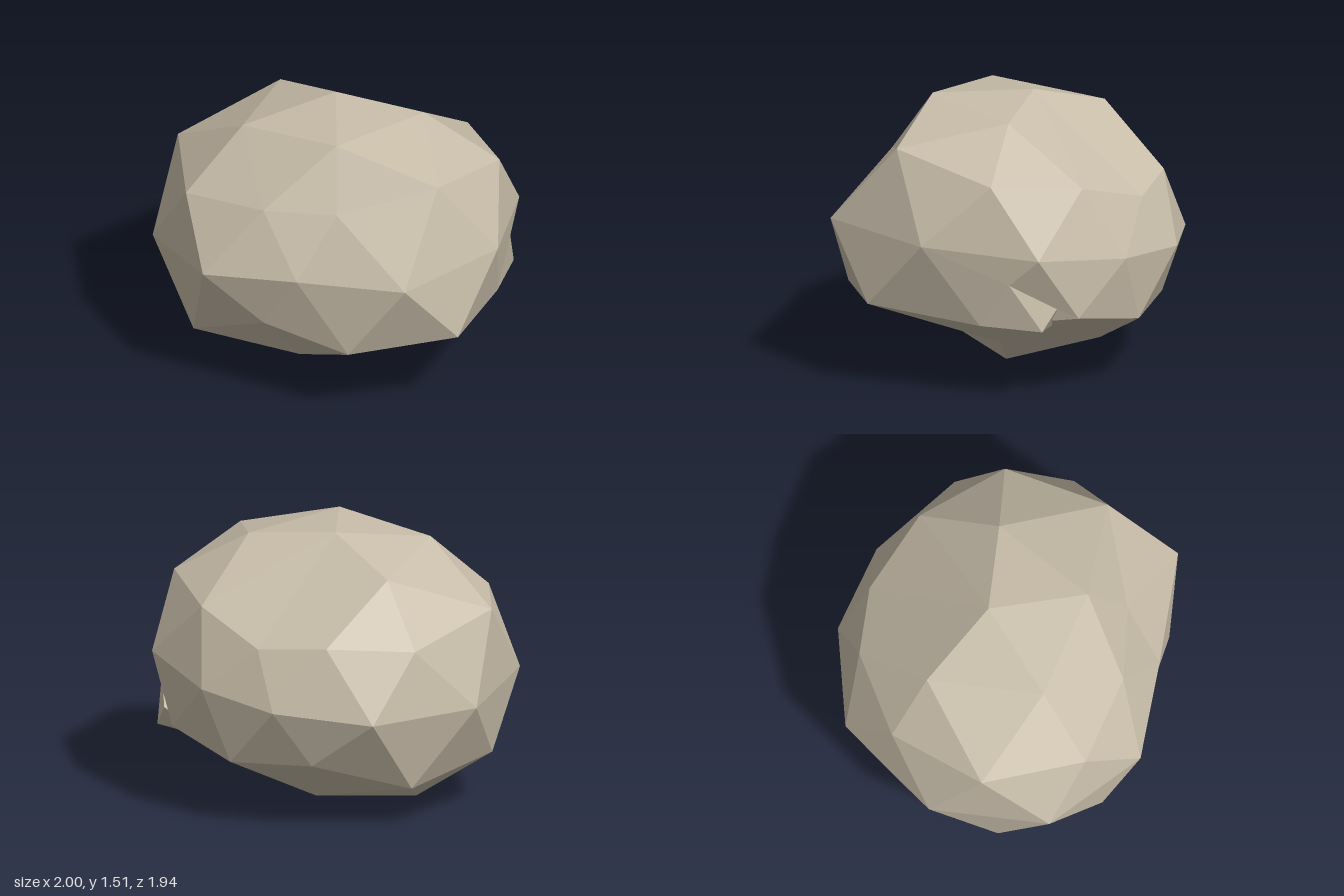
import * as THREE from 'three';
import { ConvexGeometry } from 'three/addons/geometries/ConvexGeometry.js';

const stone = new THREE.MeshStandardMaterial({ color: 0xc8bda9 });
stone.name = 'warm grey stone';

const toVectors = (corners) => corners.map(([x, y, z]) => new THREE.Vector3(x, y, z));

// Faceted ball: triangulate the corner directions on a sphere, then move every
// vertex out to its corner, so shallow hollows between corners are kept
function facetedBall(corners, centre) {
  const points = toVectors(corners);
  const directions = points.map((p) => {
    const d = p.clone().sub(centre);
    d.y *= 1.3;
    return d.normalize();
  });
  const geometry = new ConvexGeometry(directions);
  const position = geometry.attributes.position;
  const v = new THREE.Vector3();
  for (let i = 0; i < position.count; i++) {
    v.fromBufferAttribute(position, i);
    let best = 0;
    directions.forEach((d, k) => { if (d.dot(v) > directions[best].dot(v)) best = k; });
    position.setXYZ(i, points[best].x, points[best].y, points[best].z);
  }
  geometry.computeVertexNormals();
  return geometry;
}

function addPart(group, name, geometry) {
  const mesh = new THREE.Mesh(geometry, stone);
  mesh.name = name;
  group.add(mesh);
}

export function createModel() {
  const group = new THREE.Group();
  group.name = 'boulder';

  // Flattish top
  const crown = [
    [0, 1.49, 0.41], [0, 1.51, -0.14], [0.48, 1.46, 0], [-0.51, 1.43, 0.08],
    [0.55, 1.34, 0.61], [-0.3, 1.36, -0.53],
  ];
  // Ring sloping out from the crown
  const shoulder = [
    [0.89, 1.22, 0.1], [0.72, 1.16, -0.4], [0.4, 1.02, -0.73], [0.02, 1.06, -0.85],
    [-0.46, 1.02, -0.75], [-0.86, 1.14, -0.32], [-0.82, 1.11, 0.26], [-0.4, 1.16, 0.54],
    [0, 1.18, 0.63],
  ];
  // Widest ring, with the nose at the front
  const belly = [
    [0.37, 0.89, 0.97], [0.88, 0.88, 0.48], [1.0, 0.83, -0.16], [0.71, 0.76, -0.64],
    [0.31, 0.71, -0.92], [-0.24, 0.66, -0.97], [-0.79, 0.66, -0.6], [-1.0, 0.71, 0.03],
    [-0.73, 0.78, 0.58], [-0.22, 0.84, 0.77], [0.95, 0.68, 0],
  ];
  // Ring tucking in below the belly
  const underside = [
    [0.66, 0.49, 0.77], [0.06, 0.44, 0.87], [-0.4, 0.51, 0.64], [-0.78, 0.31, 0.36],
    [-0.86, 0.3, -0.23], [0.1, 0.39, -0.84], [0.55, 0.37, -0.71],
    [0.88, 0.47, -0.38], [0.88, 0.43, 0.16], [0.57, 0.24, 0.04],
  ];
  // Resting edge on the ground and the slopes rising from it
  const base = [
    [0.1, 0, 0.01], [-0.44, 0.01, -0.12], [0.09, 0.12, -0.5], [-0.44, 0.23, -0.71],
    [-0.2, 0.18, 0.42],
  ];
  addPart(group, 'boulderBody', facetedBall(
    [...crown, ...shoulder, ...belly, ...underside, ...base],
    new THREE.Vector3(0, 0.75, 0),
  ));

  // Small chipped spur overhanging the side
  addPart(group, 'chippedSpur', new ConvexGeometry(toVectors([
    [0.88, 0.43, 0.16], [0.95, 0.68, 0], [0.97, 0.42, -0.18],
    [0.93, 0.54, -0.26], [0.76, 0.41, -0.25], [0.57, 0.24, 0.04],
  ])));

  return group;
}
